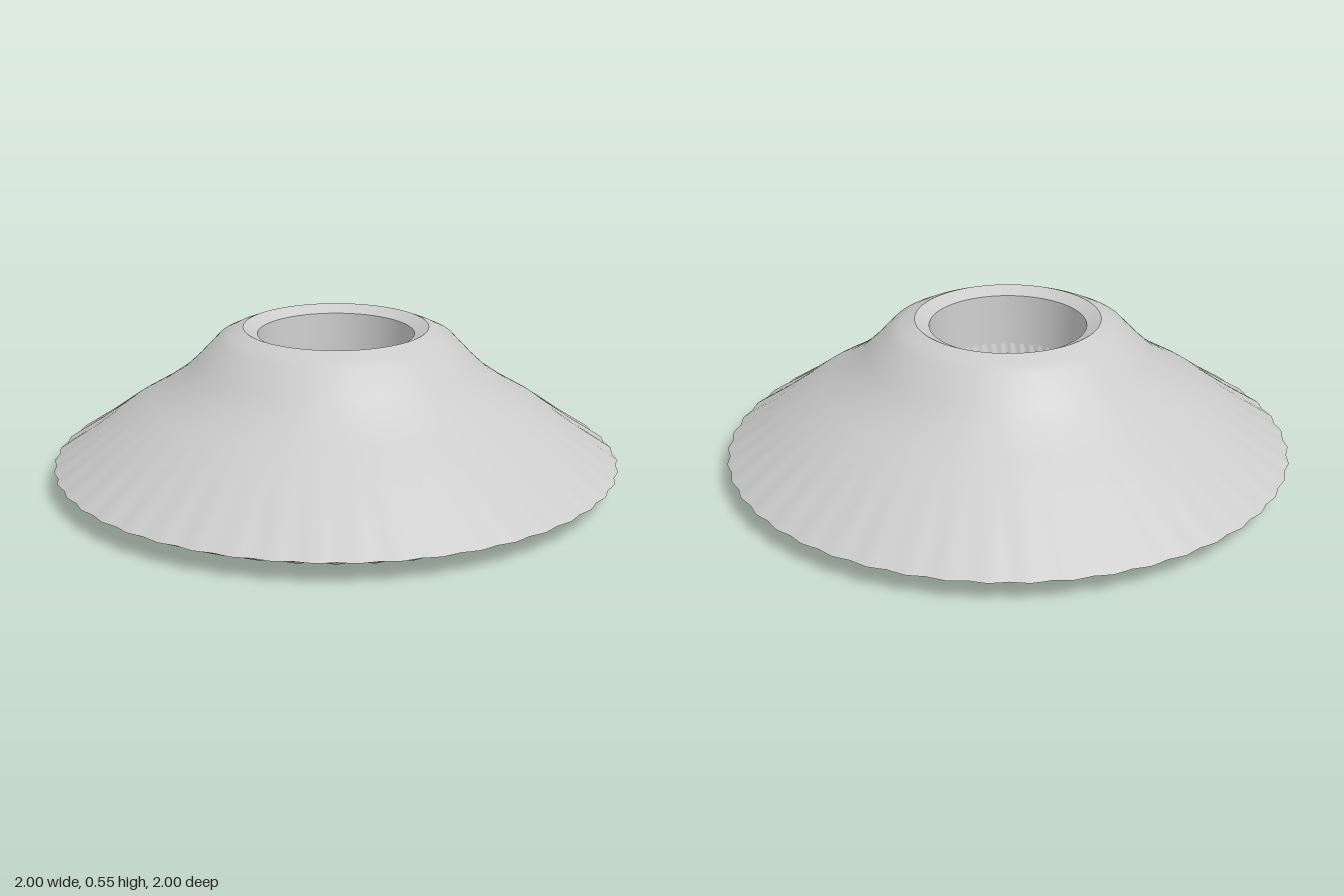
import * as THREE from 'three';
import { mergeVertices } from 'three/addons/utils/BufferGeometryUtils.js';

const LOBES = 48;
const SEGMENTS = LOBES * 4;

// Revolve a profile, then let a rule shift each vertex by its wave phase.
function revolve(name, profile, rule) {
  const pts = profile.map(([r, y]) => new THREE.Vector2(r, y));
  let geo = new THREE.LatheGeometry(pts, SEGMENTS);
  const pos = geo.attributes.position;
  if (rule) {
    for (let i = 0; i < pos.count; i++) {
      const x = pos.getX(i), y = pos.getY(i), z = pos.getZ(i);
      const r = Math.hypot(x, z);
      if (r < 1e-6) continue;
      const wave = Math.cos(LOBES * Math.atan2(x, z));
      const [scale, dy] = rule(r, wave);
      pos.setXYZ(i, x * scale, y + dy, z * scale);
    }
  }
  // Weld the seam so shading stays smooth all round
  geo.deleteAttribute('uv');
  geo.deleteAttribute('normal');
  geo = mergeVertices(geo, 1e-5);
  geo.computeVertexNormals();
  const mesh = new THREE.Mesh(geo, new THREE.MeshStandardMaterial({
    color: 0xcccccc, side: THREE.DoubleSide,
  }));
  mesh.name = name;
  return mesh;
}

// Scallops grow towards the rim
const scallop = (r, wave) =>
  1 - 0.005 * (1 - wave) * THREE.MathUtils.smoothstep(r, 0.7, 1);

export function createModel() {
  const group = new THREE.Group();
  group.name = 'flaredKnob';

  // Shallow ribbed underside, dished down to the centre
  const base = [[0, 0.004], [0.2, 0.012], [0.4, 0.02], [0.6, 0.029],
    [0.78, 0.037], [0.92, 0.047], [1, 0.08]];
  group.add(revolve('ribbedUnderside', base, (r, wave) => {
    const fade = r > 0.99 ? 0 : Math.min(1, r / 0.9);
    return [scallop(r, wave), 0.007 * fade * wave];
  }));

  // Flared skirt rising to the rounded shoulder
  const skirt = [[1, 0.08], [0.87, 0.165], [0.75, 0.25], [0.64, 0.315],
    [0.55, 0.378], [0.49, 0.435], [0.415, 0.515], [0.37, 0.537], [0.325, 0.555]];
  group.add(revolve('skirt', skirt, (r, wave) => [scallop(r, wave), 0]));

  // Bevelled lip, bore and floor of the recess
  group.add(revolve('lip', [[0.325, 0.555], [0.275, 0.53]]));
  group.add(revolve('bore', [[0.275, 0.53], [0.262, 0.31]]));
  group.add(revolve('boreFloor', [[0.262, 0.31], [0, 0.31]]));

  // Fine ring of teeth around the floor
  group.add(revolve('boreTeeth', [[0.265, 0.35], [0.256, 0.309]],
    (r, wave) => [r < 0.26 ? 1 - 0.02 * wave : 1, 0]));

  return group;
}
